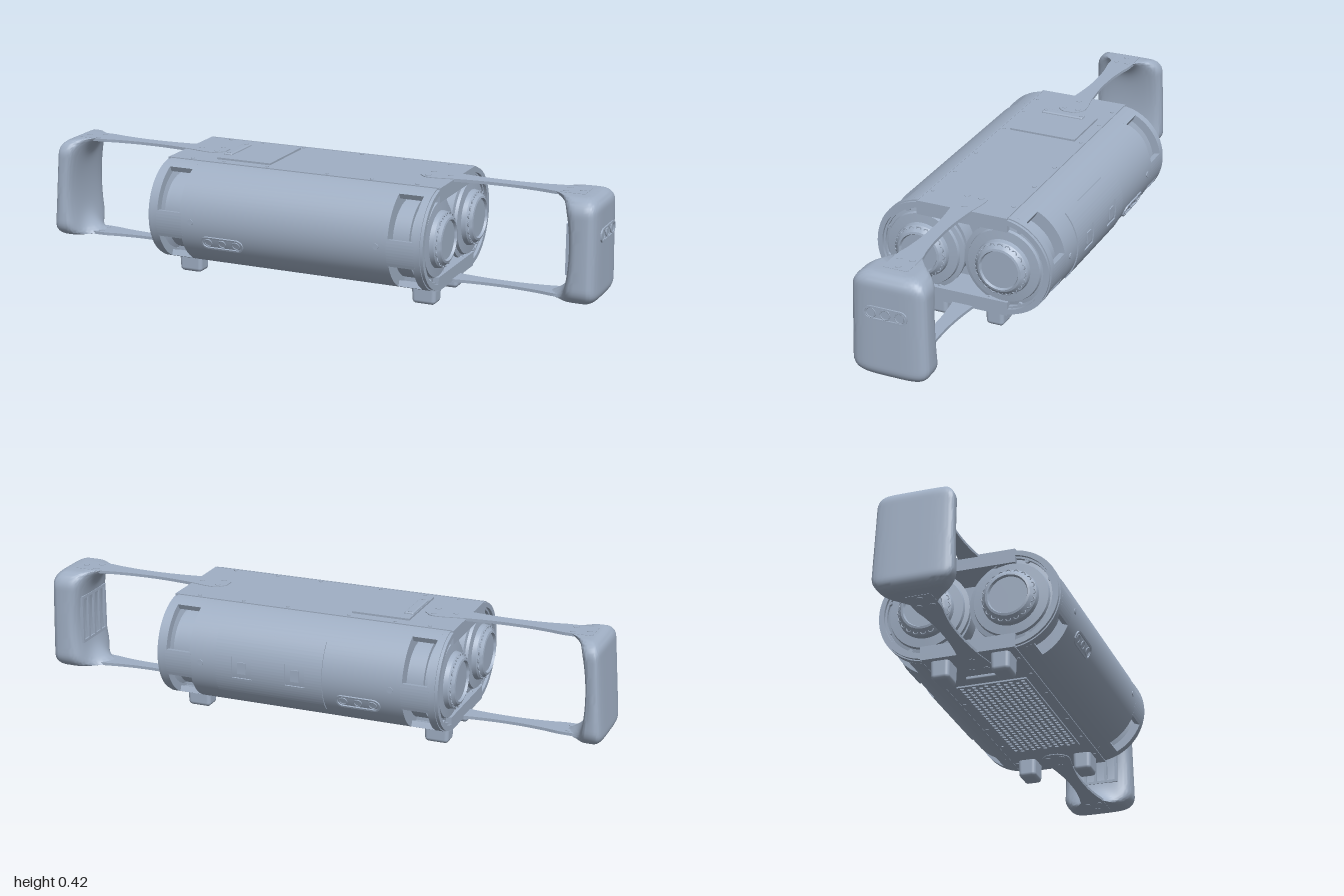
import * as THREE from 'three';
import { toCreasedNormals } from 'three/addons/utils/BufferGeometryUtils.js';
import { RoundedBoxGeometry } from 'three/addons/geometries/RoundedBoxGeometry.js';

const CY = 0.235, R = 0.173, CZ = 0.135, BX = -0.01; // body axis height, end radius, arc centre z, body x offset
const paint = new THREE.MeshStandardMaterial({ color: 0xa0afc4 });
paint.name = 'blueGrey';

function add(parent, name, geo, x = 0, y = 0, z = 0) {
  const m = new THREE.Mesh(geo, paint);
  m.name = name;
  m.position.set(x, y, z);
  parent.add(m);
  return m;
}

const extrude = (shape, depth) => toCreasedNormals(
  new THREE.ExtrudeGeometry(shape, { depth, bevelEnabled: false, curveSegments: 18 }), 0.5);
// Shape drawn as (-z, y), extruded from x0 to x1
const extrudeX = (shape, x0, x1) => extrude(shape, x1 - x0).rotateY(Math.PI / 2).translate(x0, 0, 0);
// Shape drawn as (x, -z), extruded upwards from y0
const extrudeY = (shape, y0, h) => extrude(shape, h).rotateX(-Math.PI / 2).translate(0, y0, 0);

// Ring segment of the rounded body side; degrees from horizontal, sz = which side in z
function arcShape(sz, r0, r1, deg0, deg1) {
  let a = THREE.MathUtils.degToRad(deg0), b = THREE.MathUtils.degToRad(deg1);
  if (sz > 0) [a, b] = [Math.PI - b, Math.PI - a];
  const s = new THREE.Shape();
  s.absarc(-sz * CZ, CY, r1, a, b, false);
  s.absarc(-sz * CZ, CY, r0, b, a, true);
  return s;
}

function pill(cls, w, h) {
  const s = new cls(), r = h / 2, d = w / 2 - r;
  s.absarc(d, 0, r, -Math.PI / 2, Math.PI / 2, false);
  s.absarc(-d, 0, r, Math.PI / 2, Math.PI * 1.5, false);
  s.closePath();
  return s;
}

// Pill-shaped bezel with three round sensors, facing +z
function sensorSlot(w, h, r) {
  const g = new THREE.Group();
  g.name = 'sensorSlot';
  const bezel = pill(THREE.Shape, w, h);
  bezel.holes.push(pill(THREE.Path, w - 0.012, h - 0.012));
  add(g, 'bezel', extrude(bezel, 0.005));
  for (const k of [-1, 0, 1]) {
    add(g, 'lensRing', new THREE.TorusGeometry(r, 0.002, 6, 24), k * w * 0.33, 0, 0.002);
    add(g, 'lens', new THREE.CylinderGeometry(r, r, 0.004, 24).rotateX(Math.PI / 2), k * w * 0.33, 0, 0);
  }
  return g;
}

// Lofted hand grip: rounded outside, concave inside, necks at top and bottom; outside faces +x
function gripGeometry(slant, inner) {
  const NY = 40, NT = 72, H = 0.175, W = 0.127, pos = [], idx = [];
  const round = (d, r) => d >= r ? 0 : r - Math.sqrt(r * r - (r - d) ** 2);
  for (let i = -1; i <= NY + 1; i++) {
    const t = -Math.cos(Math.PI * THREE.MathUtils.clamp(i / NY, 0, 1));
    const d = H * (1 - Math.abs(t)), cap = i < 0 || i > NY ? 0 : 1;
    const hz = (W - round(d, 0.055)) * (1 - 0.03 * t) * cap;
    const xo = 0.998 - slant * (t + 1) - round(d, 0.04);
    for (let j = 0; j < NT; j++) {
      const a = j / NT * Math.PI * 2, s = Math.sin(a), z = hz * s;
      const u = Math.sign(Math.cos(a)) * Math.pow(Math.max(0, 1 - s ** 4), 0.25);
      const flare = 0.025 * t * t + 0.075 * Math.abs(t) ** 6 * Math.exp(-((z / 0.05) ** 2));
      const mid = (xo + inner) / 2 + 0.005, xi = inner - flare - slant * t * 0.4;
      pos.push(cap ? mid + (u > 0 ? u * (xo - mid) : -u * (xi - mid)) : mid, CY + t * H, z);
    }
  }
  for (let i = 0; i < NY + 2; i++) for (let j = 0; j < NT; j++) {
    const a = i * NT + j, b = i * NT + (j + 1) % NT;
    idx.push(a, a + NT, b, b, a + NT, b + NT);
  }
  const g = new THREE.BufferGeometry();
  g.setAttribute('position', new THREE.Float32BufferAttribute(pos, 3));
  g.setIndex(idx);
  return toCreasedNormals(g, 0.7);
}

// Flat strap from the body to a grip
function strapShape() {
  const s = new THREE.Shape();
  const half = [[0.36, 0.02], [0.385, 0.045], [0.42, 0.048], [0.5, 0.034], [0.6, 0.024], [0.7, 0.024], [0.78, 0.032], [0.84, 0.042], [0.93, 0.042]];
  s.moveTo(0.36, -0.02);
  s.splineThru(half.slice(1).map(([x, z]) => new THREE.Vector2(x, -z)));
  s.lineTo(0.93, 0.042);
  s.splineThru(half.slice(0, -1).reverse().map(([x, z]) => new THREE.Vector2(x, z)));
  return s;
}

export function createModel() {
  const model = new THREE.Group();
  model.name = 'carrySpeaker';
  const body = new THREE.Group();
  body.name = 'body';
  body.position.x = BX;
  model.add(body);

  // Main barrel and the flat top and bottom beams
  const section = pill(THREE.Shape, 2 * (CZ + R), 2 * R);
  add(body, 'barrel', extrudeX(section, -0.375, 0.375).translate(0, CY, 0));
  for (const sy of [-1, 1]) {
    add(body, 'deckBeam', new THREE.BoxGeometry(0.99, 0.048, 0.318), 0, CY + sy * (R - 0.0235), 0);
    for (const sz of [-1, 1]) add(body, 'deckSeam', new THREE.BoxGeometry(0.98, 0.002, 0.004), 0, CY + sy * (R + 0.0005), sz * 0.157);
  }

  // Ends: pierced shell band, rim, speaker drum
  const drumProfile = [[0, 0.36], [0.12, 0.36], [0.12, 0.455], [0.143, 0.462], [0.143, 0.474], [0.128, 0.477], [0.125, 0.487],
    [0.095, 0.49], [0.092, 0.505], [0.075, 0.522], [0.068, 0.524], [0.064, 0.516], [0, 0.516]]
    .map(([r, x]) => new THREE.Vector2(r, x));
  const screw = new THREE.CylinderGeometry(0.008, 0.008, 0.012, 12).rotateZ(Math.PI / 2);
  const port = new THREE.TorusGeometry(0.0085, 0.002, 6, 14).rotateY(Math.PI / 2);
  for (const sx of [-1, 1]) {
    const end = new THREE.Group();
    end.name = 'speakerEnd';
    end.rotation.y = sx > 0 ? 0 : Math.PI;
    body.add(end);
    for (const sz of [-1, 1]) {
      for (const [a, b] of [[-90, -64], [-22, 9], [64, 90]])
        add(end, 'shellBar', extrudeX(arcShape(sz, 0.153, R, a, b), 0.37, 0.465));
      add(end, 'shellRim', extrudeX(arcShape(sz, 0.145, R, -97, 97), 0.46, 0.485));
      add(end, 'shellLip', extrudeX(arcShape(sz, 0.152, R - 0.004, -97, 97), 0.485, 0.495));
      const drum = new THREE.Group();
      drum.name = 'speakerDrum';
      drum.position.set(0, CY, sz * 0.143);
      end.add(drum);
      const lathe = new THREE.LatheGeometry(drumProfile, 48).rotateZ(-Math.PI / 2);
      add(drum, 'speakerDisc', toCreasedNormals(lathe, 0.4));
      add(drum, 'collar', new THREE.CylinderGeometry(0.135, 0.135, 0.05, 40).rotateZ(Math.PI / 2), 0.412, 0, 0);
      for (let k = 0; k < 20; k++) {
        const a = k / 20 * Math.PI * 2;
        add(drum, 'portRing', port, 0.512, 0.082 * Math.sin(a), 0.082 * Math.cos(a));
      }
      for (let k = 0; k < 8; k++) {
        const a = (k + 0.5) / 8 * Math.PI * 2;
        if (sz * Math.cos(a) > -0.5) add(drum, 'screw', screw, 0.478, 0.141 * Math.sin(a), 0.141 * Math.cos(a));
      }
    }
  }

  // Tapered feet
  for (const x of [-0.443, 0.42]) for (const z of [-0.101, 0.101]) {
    const geo = new RoundedBoxGeometry(0.088, 0.08, 0.066, 4, 0.014);
    const p = geo.attributes.position;
    for (let i = 0; i < p.count; i++) {
      const k = 0.96 + p.getY(i);
      p.setX(i, p.getX(i) * k);
      p.setZ(i, p.getZ(i) * k);
    }
    add(model, 'foot', geo, x, 0.04, z);
    add(model, 'footRing', new THREE.TorusGeometry(0.014, 0.002, 6, 20).rotateX(Math.PI / 2), x, 0.002, z);
  }

  // Top hatch with its pull, and bottom catch
  add(model, 'topHatch', new THREE.BoxGeometry(0.2, 0.008, 0.24), -0.24, 0.411, 0);
  add(model, 'hatchPull', new RoundedBoxGeometry(0.032, 0.012, 0.152, 3, 0.005), -0.322, 0.415, 0);
  for (const z of [-0.066, 0.066]) add(model, 'pullScrew', new THREE.CylinderGeometry(0.007, 0.007, 0.003, 12), -0.322, 0.4215, z);
  add(model, 'bottomCatch', new RoundedBoxGeometry(0.036, 0.014, 0.13, 3, 0.005), -0.325, 0.057, 0);

  // Perforated bottom grille
  const grille = new THREE.Shape([[-0.28, -0.12], [0.3, -0.12], [0.3, 0.12], [-0.28, 0.12]].map(([x, y]) => new THREE.Vector2(x, y)));
  for (let i = 0; i < 27; i++) for (let j = 0; j < 11; j++) {
    const hole = new THREE.Path(), x = -0.266 + i * 0.0208 + (j % 2) * 0.0104, y = -0.105 + j * 0.021;
    hole.setFromPoints([0, 1, 2, 3, 4, 5].map(k => new THREE.Vector2(x + 0.0075 * Math.sin(k * Math.PI / 3), y + 0.0075 * Math.cos(k * Math.PI / 3))));
    grille.holes.push(hole);
  }
  add(model, 'bottomGrille', extrudeY(grille, 0.056, 0.007));

  // Deck screws
  const stud = new THREE.CylinderGeometry(0.006, 0.006, 0.004, 10);
  for (const x of [-0.42, -0.3, -0.14, 0.08, 0.24, 0.4]) for (const z of [-0.143, 0.143])
    for (const y of [0.409, 0.061]) add(model, 'deckScrew', stud, x, y, z);

  // Sensor slots and locating pins, front and back
  for (const sz of [-1, 1]) {
    const slot = sensorSlot(0.155, 0.048, 0.013);
    slot.position.set(-0.232, CY - 0.065, sz * (CZ + 0.161));
    slot.rotation.set(sz * 0.385, sz > 0 ? 0 : Math.PI, 0);
    model.add(slot);
    for (const x of [-0.345, 0.325])
      add(model, 'sidePin', new THREE.CylinderGeometry(0.01, 0.01, 0.006, 14).rotateX(Math.PI / 2), x, CY, sz * (CZ + R));
  }

  // Curved rear access panel with two square openings
  for (const [a, b, x0, x1] of [[12, 42, -0.11, 0.27], [-42, -12, -0.11, 0.27], [-12, 12, -0.11, -0.05], [-12, 12, 0.02, 0.14], [-12, 12, 0.21, 0.27]])
    add(model, 'rearPanel', extrudeX(arcShape(-1, R - 0.003, R + 0.004, a, b), x0, x1));
  for (const x of [-0.015, 0.175]) add(model, 'rearLatch', new THREE.BoxGeometry(0.03, 0.04, 0.006), x, CY, -CZ - R);

  // Grips and straps at both ends
  for (const sx of [-1, 1]) {
    const handle = new THREE.Group();
    handle.name = sx > 0 ? 'leftHandle' : 'rightHandle';
    handle.rotation.y = sx > 0 ? 0 : Math.PI;
    model.add(handle);
    add(handle, 'grip', sx > 0 ? gripGeometry(0.003, 0.895) : gripGeometry(0.014, 0.927));
    for (const y of [0.401, 0.059]) {
      add(handle, 'strap', extrudeY(strapShape(), y, 0.01));
      for (const [x, z] of [[0.39, 0.025], [0.39, -0.025], [0.46, 0], [0.86, 0.022], [0.86, -0.022], [0.91, 0]])
        add(handle, 'strapBolt', new THREE.CylinderGeometry(0.01, 0.01, 0.013, 14), x, y + 0.005, z);
    }
    if (sx > 0) {
      // Outer sensor window and inner vent slats
      const slot = sensorSlot(0.148, 0.046, 0.016);
      slot.position.set(0.995, 0.287, 0.002);
      slot.rotation.y = Math.PI / 2;
      handle.add(slot);
      for (const y of [0.155, 0.315]) add(handle, 'ventFrame', new THREE.BoxGeometry(0.014, 0.01, 0.17), 0.893, y, 0);
      for (let k = -2; k <= 2; k++) add(handle, 'ventSlat', new THREE.BoxGeometry(0.014, 0.16, 0.01), 0.893, CY, k * 0.04);
    }
  }
  return model;
}
